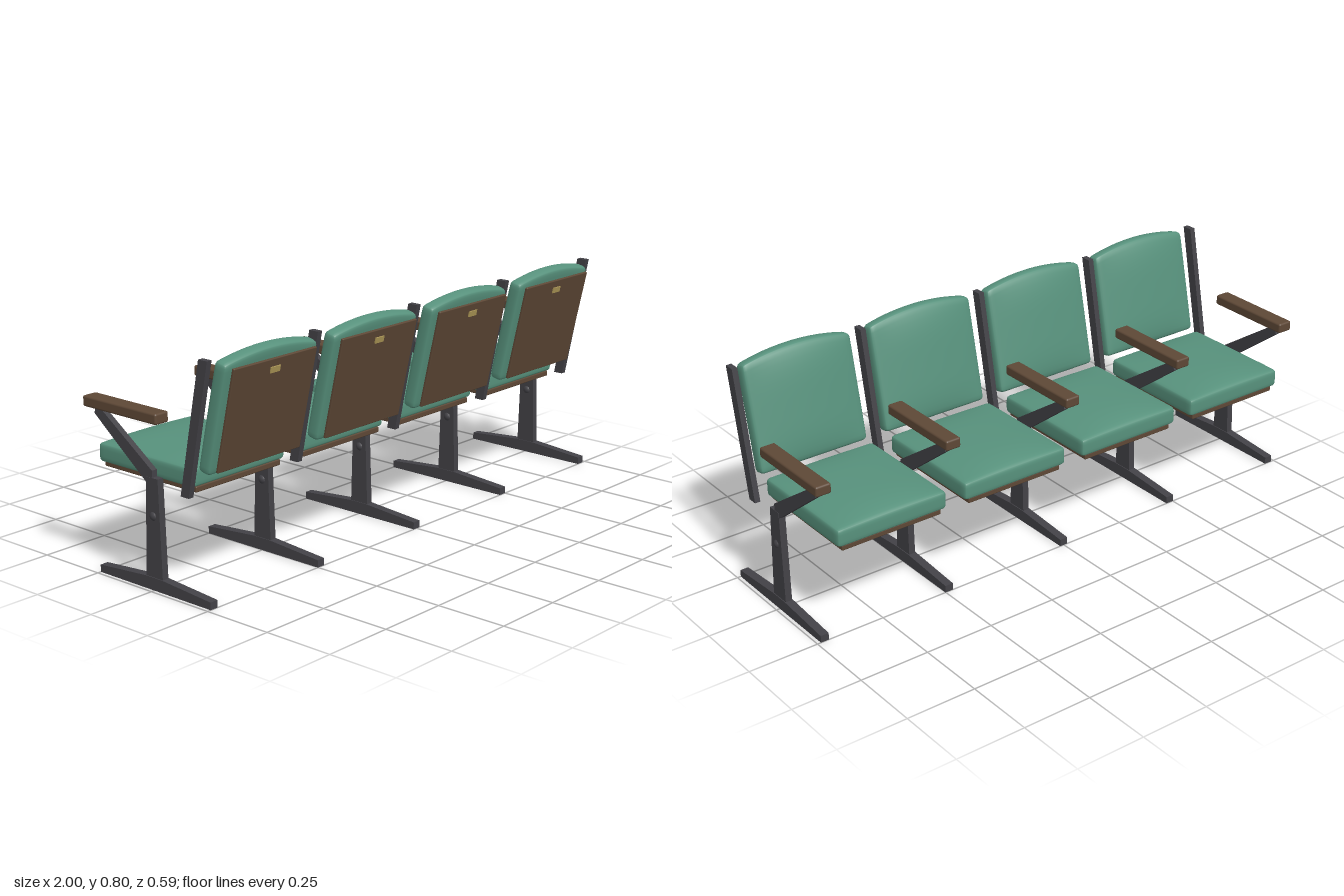
import * as THREE from 'three';
import { mergeVertices } from 'three/addons/utils/BufferGeometryUtils.js';
import { RoundedBoxGeometry } from 'three/addons/geometries/RoundedBoxGeometry.js';

const material = (name, color) => {
  const m = new THREE.MeshStandardMaterial({ color });
  m.name = name;
  return m;
};

// Side profile of [z, y] points, extruded across x
function sidePlate(points, thickness) {
  const shape = new THREE.Shape(points.map(([z, y]) => new THREE.Vector2(z, y)));
  return new THREE.ExtrudeGeometry(shape, { depth: thickness, bevelEnabled: false })
    .translate(0, 0, -thickness / 2)
    .rotateY(-Math.PI / 2);
}

// Upholstered pad in x and y, thickness along z: rounded edges, crowned -z face, arched top
function cushion(w, h, d, radius, crown, arch) {
  let geo = new THREE.BoxGeometry(2, 2, 2, 18, 18, 8);
  geo.deleteAttribute('normal');
  geo.deleteAttribute('uv');
  geo = mergeVertices(geo);
  const pos = geo.attributes.position;
  const half = new THREE.Vector3(w / 2, h / 2, d / 2);
  const inner = half.clone().subScalar(radius);
  const p = new THREE.Vector3(), core = new THREE.Vector3();
  const ease = (t) => Math.sin(t * Math.PI / 2);
  for (let i = 0; i < pos.count; i++) {
    p.fromBufferAttribute(pos, i);
    p.set(ease(p.x), ease(p.y), ease(p.z)).multiply(half);
    core.copy(p).clamp(inner.clone().negate(), inner);
    p.sub(core);
    if (p.lengthSq() > 0) p.setLength(radius);
    p.add(core);
    const u = p.x / half.x, v = p.y / half.y, t = p.z / half.z;
    if (t < 0) p.z += t * crown * (1 - u * u) * (1 - v ** 4);
    p.y += arch * (1 - u * u) * ((1 + v) / 2) ** 2;
    pos.setXYZ(i, p.x, p.y, p.z);
  }
  geo.computeVertexNormals();
  return geo;
}

export function createModel() {
  const green = material('green upholstery', 0x57917c);
  const wood = material('brown wood', 0x5e4836);
  const metal = material('dark metal', 0x434247);
  const brass = material('brass', 0xb09a58);

  const model = new THREE.Group();
  model.name = 'seatRow';
  const add = (parent, name, geo, mat, x = 0, y = 0, z = 0) => {
    const mesh = new THREE.Mesh(geo, mat);
    mesh.name = name;
    mesh.position.set(x, y, z);
    parent.add(mesh);
    return mesh;
  };

  const pitch = 0.486;

  // Stand parts
  const foot = sidePlate([[-0.25, 0], [0.25, 0], [0.25, 0.025], [0.037, 0.042],
    [-0.037, 0.042], [-0.25, 0.025]], 0.03);
  const column = sidePlate([[-0.037, 0.04], [0.037, 0.04], [0.026, 0.37], [-0.026, 0.37]], 0.024);
  const strut = sidePlate([[-0.026, 0.35], [0, 0.35], [0, 0.393], [-0.23, 0.552],
    [-0.25, 0.552], [-0.257, 0.53]], 0.021);
  const upright = sidePlate([[0.125, 0.337], [0.16, 0.337], [0.252, 0.784], [0.215, 0.784]], 0.02);
  const bolt = new THREE.SphereGeometry(0.019, 14, 10).rotateZ(Math.PI / 2);
  const armrest = new RoundedBoxGeometry(0.056, 0.036, 0.333, 3, 0.007);

  for (let i = -2; i <= 2; i++) {
    const stand = new THREE.Group();
    stand.name = 'stand';
    stand.position.x = i * pitch;
    add(stand, 'foot', foot, metal);
    add(stand, 'column', column, metal);
    add(stand, 'armStrut', strut, metal);
    add(stand, 'backUpright', upright, metal);
    add(stand, 'bolt', bolt, metal, 0, 0.245, 0);
    add(stand, 'armrest', armrest, wood, 0, 0.567, -0.125);
    model.add(stand);
  }

  // Seat parts; the seat pad is laid flat so its crown faces up
  const seatPad = cushion(0.414, 0.43, 0.064, 0.014, 0.02, 0).rotateX(Math.PI / 2);
  const seatBoard = new RoundedBoxGeometry(0.376, 0.02, 0.418, 2, 0.004);
  const backPad = cushion(0.412, 0.372, 0.05, 0.016, 0.02, 0.026);
  const backBoard = new RoundedBoxGeometry(0.366, 0.35, 0.01, 2, 0.003);
  const plate = new THREE.BoxGeometry(0.042, 0.02, 0.006);

  for (let i = 0; i < 4; i++) {
    const seat = new THREE.Group();
    seat.name = 'seat';
    seat.position.x = (i - 1.5) * pitch;
    add(seat, 'seatCushion', seatPad, green, 0, 0.382, -0.085);
    add(seat, 'seatBoard', seatBoard, wood, 0, 0.342, -0.082);

    // Reclined backrest
    const back = new THREE.Group();
    back.name = 'backrest';
    back.position.set(0, 0.583, 0.238);
    back.rotation.x = 0.225;
    add(back, 'backCushion', backPad, green, 0, 0, -0.023);
    add(back, 'backBoard', backBoard, wood, 0, 0.003, 0.013);
    add(back, 'brassPlate', plate, brass, 0, 0.142, 0.0185);
    seat.add(back);
    model.add(seat);
  }
  return model;
}
